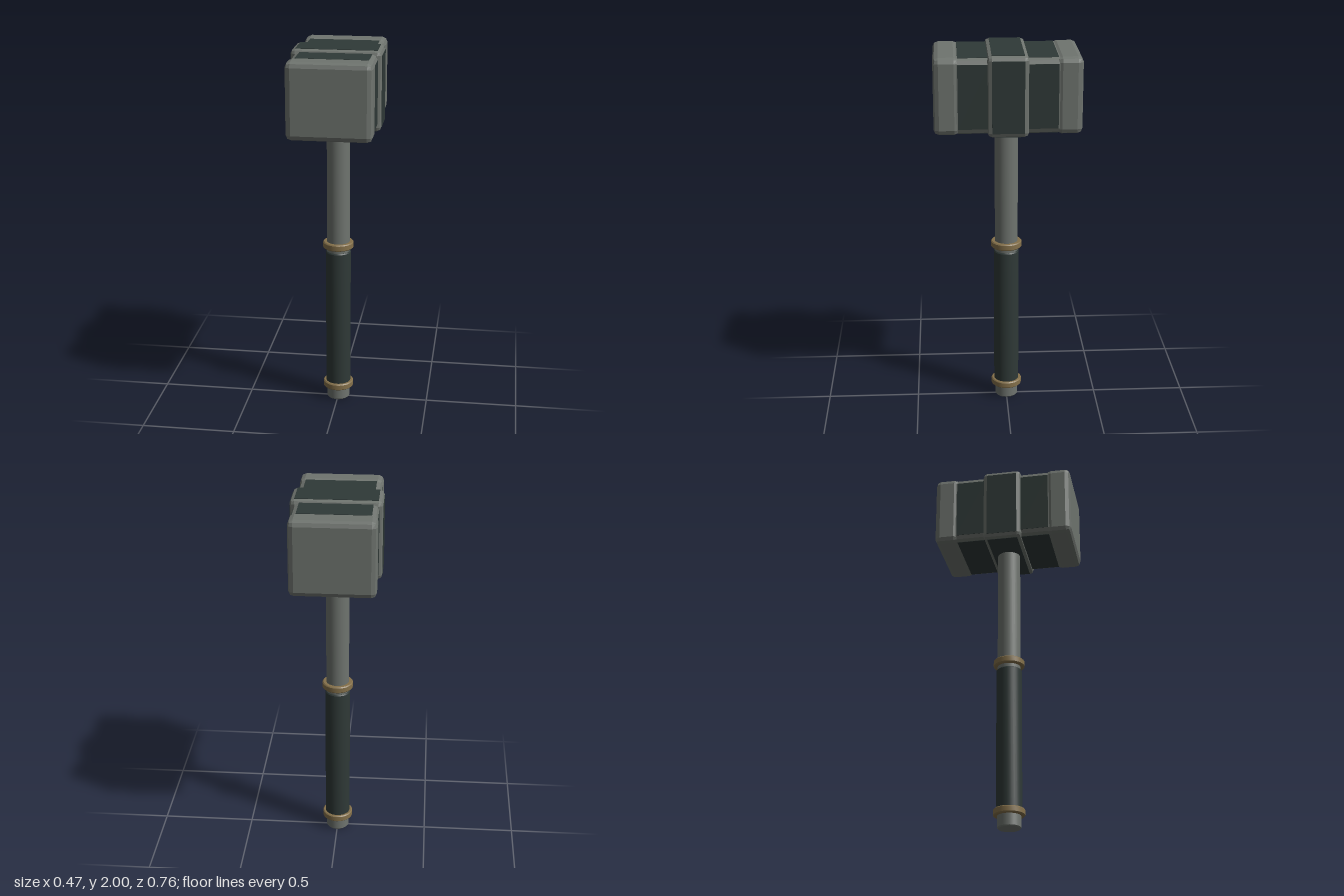
import * as THREE from 'three';
import { toCreasedNormals } from 'three/addons/utils/BufferGeometryUtils.js';
import { RoundedBoxGeometry } from 'three/addons/geometries/RoundedBoxGeometry.js';

export function createModel() {
  const model = new THREE.Group();
  model.name = 'hammer';

  const material = (name, hex) => {
    const m = new THREE.MeshStandardMaterial({ color: hex });
    m.name = name;
    return m;
  };
  const steel = material('grey steel', 0x6f746f);
  const dark = material('dark panel', 0x2f3937);
  const brass = material('brass', 0x84704a);

  const add = (parent, name, geometry, mat, x = 0, y = 0, z = 0) => {
    const mesh = new THREE.Mesh(geometry, mat);
    mesh.name = name;
    mesh.position.set(x, y, z);
    parent.add(mesh);
    return mesh;
  };

  // Box with faceted, two-step bevels
  const bevelBox = (w, h, d, r) => {
    const g = new RoundedBoxGeometry(w, h, d, 1, r);
    g.computeVertexNormals();
    return g;
  };

  // Thin dark plates on the four long sides of a block
  const addPanels = (parent, name, w, h, d, r, z) => {
    const t = 0.004;
    for (const s of [-1, 1]) {
      add(parent, name + 'Side', new THREE.BoxGeometry(t, h - 2 * r, d), dark, s * w / 2, 0, z);
      add(parent, name + 'Flat', new THREE.BoxGeometry(w - 2 * r, t, d), dark, 0, s * h / 2, z);
    }
  };

  // Head: core, raised middle band and two striking ends
  const head = new THREE.Group();
  head.name = 'head';
  head.position.y = 1.79;
  model.add(head);

  add(head, 'headCore', bevelBox(0.43, 0.39, 0.64, 0.028), steel);
  add(head, 'middleBand', bevelBox(0.47, 0.42, 0.212, 0.023), steel);
  addPanels(head, 'bandPanel', 0.47, 0.42, 0.166, 0.023, 0);
  for (const s of [-1, 1]) {
    add(head, 'strikingEnd', bevelBox(0.44, 0.4, 0.134, 0.028), steel, 0, 0, s * 0.313);
    addPanels(head, 'corePanel', 0.43, 0.39, 0.16, 0.028, s * 0.176);
  }

  // Handle parts are turned from short profiles of [radius, height]
  const turned = (points) => toCreasedNormals(
    new THREE.LatheGeometry(points.map(([r, y]) => new THREE.Vector2(r, y)), 32), 0.5);

  add(model, 'shaft', turned([[0, 0], [0.057, 0], [0.062, 0.006], [0.062, 1.62], [0, 1.62]]), steel);
  add(model, 'grip', turned([[0.06, 0.09], [0.068, 0.09], [0.068, 0.874], [0.064, 0.88], [0.06, 0.88]]), dark);

  // Brass rings at both ends of the grip
  for (const y of [0.085, 0.917]) {
    add(model, 'ring', turned([
      [0.06, -0.018], [0.078, -0.018], [0.083, -0.013],
      [0.083, 0.013], [0.078, 0.018], [0.06, 0.018],
    ]), brass, 0, y);
  }

  return model;
}
